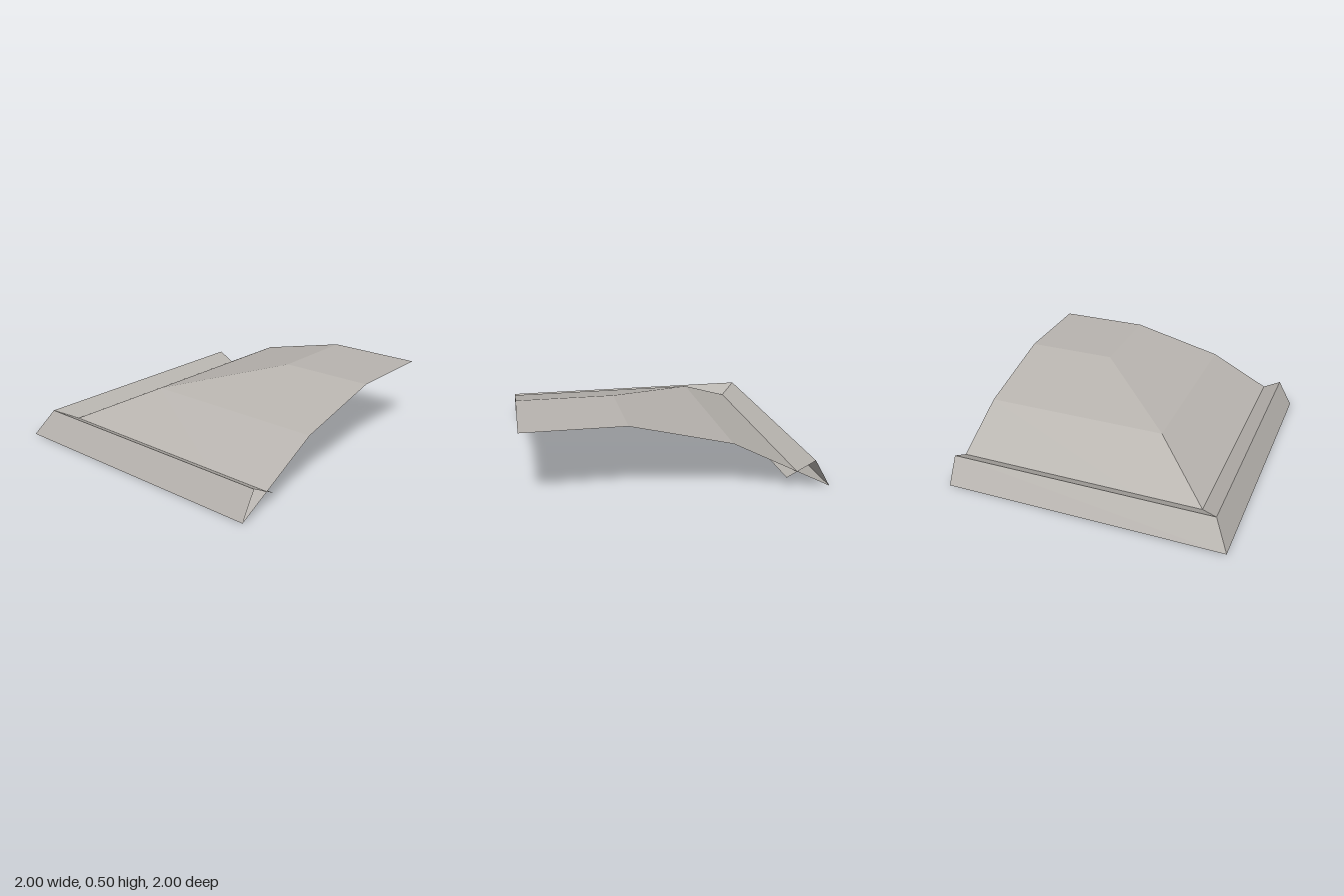
import * as THREE from 'three';

// Sweeps a [distance, height] profile along the back and side edges,
// mitred on the diagonal, as flat-faced sheets.
function mitredSheet(profile) {
  const pos = [];
  const quad = (a, b, c, d) => pos.push(...a, ...b, ...c, ...a, ...c, ...d);
  const tri = (a, b, c) => pos.push(...a, ...b, ...c);
  const swap = ([x, y, z]) => [z, y, x];
  for (let i = 0; i < profile.length - 1; i++) {
    const [t0, y0] = profile[i];
    const [t1, y1] = profile[i + 1];
    const a = [t0, y0, t0], b = [t1, y1, t1], c = [1, y1, t1], d = [1, y0, t0];
    if (t1 === 1) {
      // the last band closes to a point at the open corner
      tri(a, b, d);
      tri(swap(d), swap(b), swap(a));
    } else {
      quad(a, b, c, d);
      quad(swap(d), swap(c), swap(b), swap(a));
    }
  }
  const geometry = new THREE.BufferGeometry();
  geometry.setAttribute('position', new THREE.Float32BufferAttribute(pos, 3));
  geometry.computeVertexNormals();
  return geometry;
}

export function createModel() {
  const group = new THREE.Group();
  group.name = 'roofCorner';

  const stone = new THREE.MeshStandardMaterial({ color: 0xb8b4af, side: THREE.DoubleSide });
  stone.name = 'warm grey';

  const add = (name, profile) => {
    const mesh = new THREE.Mesh(mitredSheet(profile), stone);
    mesh.name = name;
    group.add(mesh);
  };

  // Hipped roof: steep slope, shallow slope, flat top
  add('roof', [[-1, 0], [-0.335, 0.34], [0.335, 0.5], [1, 0.5]]);

  // Raised edge: outer wall and an inner slope that runs on under the roof
  add('parapet', [[-1, 0], [-0.895, 0.185], [-0.7, 0.08]]);

  return group;
}
